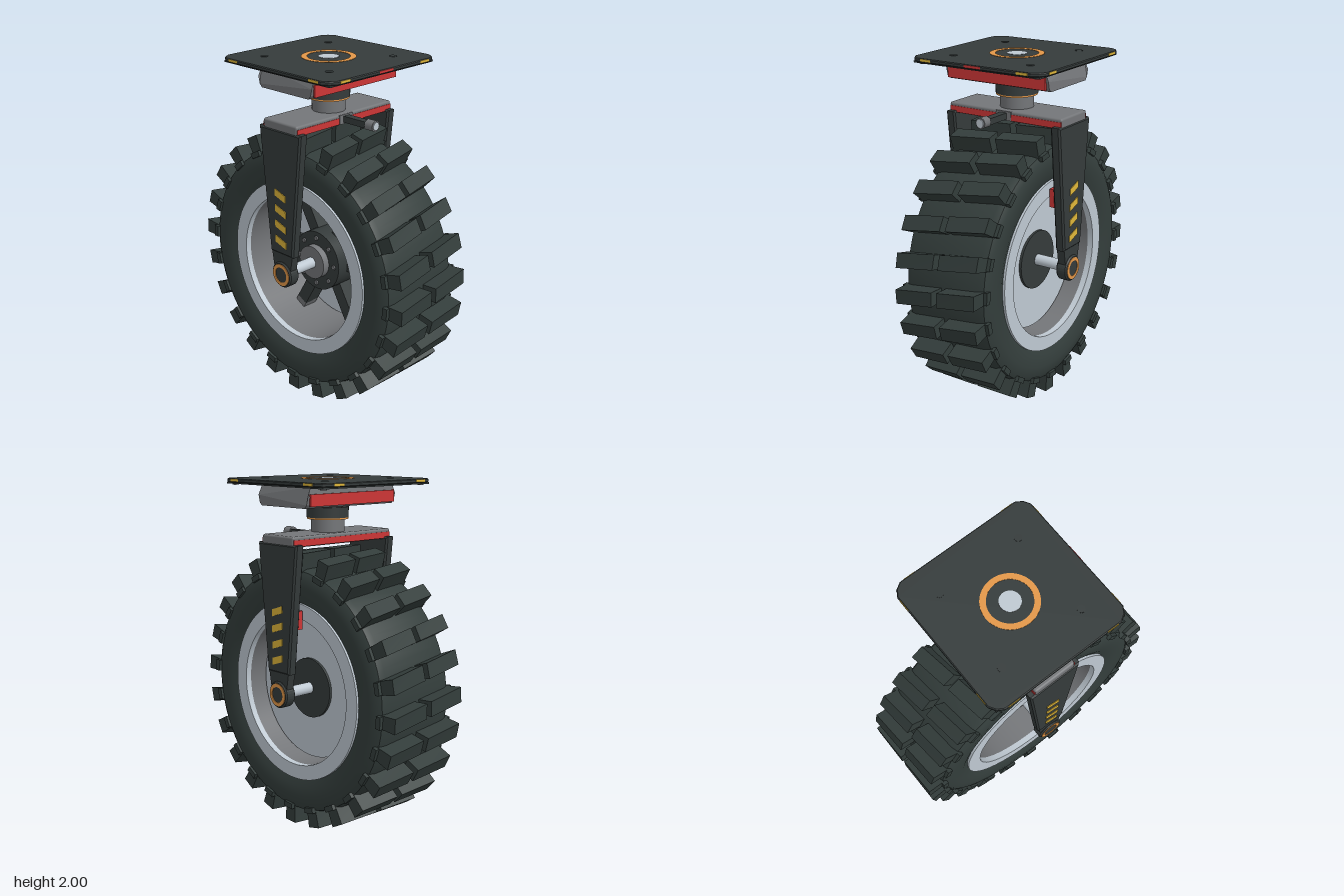
import * as THREE from 'three';
import { mergeGeometries, toCreasedNormals } from 'three/addons/utils/BufferGeometryUtils.js';
import { RoundedBoxGeometry } from 'three/addons/geometries/RoundedBoxGeometry.js';

const AXLE_Y = 0.8;

function material(name, color) {
  const m = new THREE.MeshStandardMaterial({ color });
  m.name = name;
  return m;
}

export function createModel() {
  const model = new THREE.Group();
  model.name = 'casterWheel';
  const rubber = material('rubber', 0x333d3b);
  const charcoal = material('charcoal', 0x353b3b);
  const grey = material('grey', 0x747679);
  const alloy = material('alloy', 0xbfc9d2);
  const red = material('red', 0xcc3636);
  const orange = material('orange', 0xe39748);
  const yellow = material('yellow', 0xdfb63a);

  const add = (name, geometry, mat, x = 0, y = 0, z = 0, parent = model) => {
    const mesh = new THREE.Mesh(geometry, mat);
    mesh.name = name;
    mesh.position.set(x, y, z);
    parent.add(mesh);
    return mesh;
  };
  const box = (w, h, d) => new THREE.BoxGeometry(w, h, d);
  const discY = (r, h, n = 40) => new THREE.CylinderGeometry(r, r, h, n);
  const discX = (r, w, n = 40) => discY(r, w, n).rotateZ(Math.PI / 2);
  const discZ = (r, w, n = 16) => discY(r, w, n).rotateX(Math.PI / 2);
  const polygon = pts => new THREE.Shape(pts.map(p => new THREE.Vector2(...p)));
  // Extrudes a (-z, y) outline along +x
  const extrudeX = (shape, depth, bevel = 0) => new THREE.ExtrudeGeometry(shape, {
    depth: depth - 2 * bevel, bevelEnabled: bevel > 0, bevelSize: bevel,
    bevelThickness: bevel, bevelOffset: -bevel, bevelSegments: 1, curveSegments: 16,
  }).translate(0, 0, bevel).rotateY(Math.PI / 2);
  // Turns an (x, radius) profile about the x axis
  const latheX = pts => toCreasedNormals(
    new THREE.LatheGeometry(pts.map(([x, r]) => new THREE.Vector2(r, x)), 72).rotateZ(-Math.PI / 2), 0.6);
  const ring = (inner, outer, depth) => {
    const shape = new THREE.Shape().absarc(0, 0, outer, 0, Math.PI * 2);
    shape.holes.push(new THREE.Path().absarc(0, 0, inner, 0, Math.PI * 2, true));
    return new THREE.ExtrudeGeometry(shape, { depth, bevelEnabled: false, curveSegments: 32 });
  };

  // Mounting plate
  const e = 0.425, c = 0.365, m = 0.402;
  const plateShape = polygon([[-c, -e], [c, -e], [m, -m], [e, -c], [e, c], [m, m], [c, e],
    [-c, e], [-m, m], [-e, c], [-e, -c], [-m, -m]]);
  add('mountingPlate', new THREE.ExtrudeGeometry(plateShape, {
    depth: 0.012, bevelEnabled: true, bevelSize: 0.005, bevelThickness: 0.005, bevelOffset: -0.005, bevelSegments: 1,
  }).rotateX(-Math.PI / 2), charcoal, 0, 1.981);
  add('lowerPlate', box(0.81, 0.01, 0.81), charcoal, 0, 1.972);
  add('plateRing', ring(0.12, 0.153, 0.004).rotateX(-Math.PI / 2), orange, 0, 1.996);
  add('pivotCap', discY(0.058, 0.004), alloy, 0, 1.998);
  for (const x of [-1, 1]) for (const z of [-1, 1]) {
    add('plateBolt', discY(0.022, 0.004, 20), charcoal, x * 0.25, 1.998, z * 0.25);
    add('cornerBolt', discY(0.018, 0.008, 6), grey, x * 0.37, 1.964, z * 0.37);
    add('edgeMarker', box(0.07, 0.014, 0.006), yellow, x * 0.31, 1.988, z * 0.4228);
    add('edgeMarker', box(0.006, 0.014, 0.07), yellow, x * 0.4228, 1.988, z * 0.31);
  }
  add('frontMarker', box(0.106, 0.014, 0.006), red, 0, 1.988, 0.4228);

  // Tapered housing under the plate
  const housing = extrudeX(polygon([[-0.18, 1.852], [0.18, 1.852], [0.197, 1.87], [0.207, 1.91],
    [0.203, 1.968], [-0.203, 1.968], [-0.207, 1.91], [-0.197, 1.87]]), 0.67).translate(-0.335, 0, 0);
  const hp = housing.attributes.position;
  for (let i = 0; i < hp.count; i++) if (hp.getY(i) > 1.95) hp.setX(i, hp.getX(i) * 0.93);
  housing.computeVertexNormals();
  add('housing', housing, grey);
  for (const s of [-1, 1]) add('housingPanel', box(0.64, 0.066, 0.012), red, 0, 1.896, s * 0.209);

  // Swivel neck
  add('swivelBearing', discY(0.12, 0.06), charcoal, 0, 1.81);
  add('bearingLip', discY(0.112, 0.02), charcoal, 0, 1.843);
  add('bearingRing', discY(0.118, 0.01), orange, 0, 1.776);
  add('swivelStem', discY(0.095, 0.085), grey, 0, 1.73);

  // Fork crown
  add('crown', new RoundedBoxGeometry(0.75, 0.06, 0.262, 2, 0.012), grey, 0, 1.67);
  for (const s of [-1, 1]) add('crownStripe', box(0.74, 0.036, 0.006), red, 0, 1.663, s * 0.131);

  // Brake lever
  add('leverSocket', box(0.1, 0.052, 0.014), grey, 0, 1.671, 0.131);
  add('leverRod', box(0.045, 0.036, 0.18), charcoal, 0, 1.671, 0.22);
  add('leverKnob', discZ(0.032, 0.055, 8), grey, 0, 1.672, 0.328);
  add('leverTip', discZ(0.023, 0.008), alloy, 0, 1.672, 0.357);

  // Fork legs with necks, axle eyes and hazard stripes
  const leg = extrudeX(polygon([[-0.09, 0.925], [0.09, 0.925], [0.163, 1.655], [-0.163, 1.655]]), 0.06, 0.01);
  const neck = extrudeX(polygon([[-0.06, 0.8], [0.06, 0.8], [0.085, 0.94], [-0.085, 0.94]]), 0.048);
  const eye = extrudeX(new THREE.Shape().absarc(0, AXLE_Y, 0.077, 0, Math.PI * 2), 0.07, 0.008);
  const stripe = extrudeX(polygon([[-0.042, -0.034], [0.042, -0.006], [0.042, 0.034], [-0.042, 0.006]]), 0.008);
  for (const s of [-1, 1]) {
    const fork = new THREE.Group();
    fork.name = s > 0 ? 'leftFork' : 'rightFork';
    model.add(fork);
    add('leg', leg, charcoal, s * 0.35 - 0.03, 0, 0, fork);
    add('neck', neck, charcoal, s * 0.35 - 0.024, 0, 0, fork);
    add('axleEye', eye, charcoal, s * 0.35 - 0.035, 0, 0, fork);
    add('eyeRing', ring(0.045, 0.065, 0.006).rotateY(Math.PI / 2), orange, s * 0.385 - 0.003, AXLE_Y, 0, fork);
    for (let i = 0; i < 4; i++) add('hazardStripe', stripe, yellow, s * 0.38 - 0.004, 1.002 + i * 0.0925, 0, fork);
  }
  add('sensor', box(0.045, 0.105, 0.19), red, 0.302, 1.23, 0);

  // Wheel
  const wheel = new THREE.Group();
  wheel.name = 'wheel';
  wheel.position.y = AXLE_Y;
  model.add(wheel);
  const part = (name, geometry, mat, x = 0, y = 0, z = 0) => add(name, geometry, mat, x, y, z, wheel);

  part('tyre', latheX([[-0.25, 0.515], [-0.268, 0.56], [-0.276, 0.62], [-0.272, 0.67], [-0.255, 0.7],
    [-0.22, 0.71], [0.22, 0.71], [0.255, 0.7], [0.272, 0.67], [0.276, 0.62], [0.268, 0.56], [0.25, 0.515]]), rubber);
  part('rimBarrel', latheX([[-0.235, 0.436], [-0.235, 0.5], [0.235, 0.5], [0.235, 0.436], [-0.235, 0.436]]), grey);
  for (const s of [-1, 1]) {
    part('rimLip', latheX([[-0.018, 0.435], [-0.018, 0.52], [0.018, 0.52], [0.018, 0.435], [-0.018, 0.435]]),
      alloy, s * 0.248);
  }

  // Tread: boxes bent round the wheel and skewed along a shallow helix
  const bentBlock = (x, w, r0, r1, arc, theta) => {
    const g = box(w, r1 - r0, arc).translate(x, (r0 + r1) / 2, 0);
    const p = g.attributes.position;
    for (let i = 0; i < p.count; i++) {
      const r = p.getY(i), a = theta + 0.2 * p.getX(i) - p.getZ(i) / 0.8;
      p.setXYZ(i, p.getX(i), r * Math.sin(a), r * Math.cos(a));
    }
    g.computeVertexNormals();
    return g;
  };
  const lugs = [], shoulders = [], count = 24;
  for (let i = 0; i < count; i++) {
    const a = -Math.PI / 2 + i * Math.PI * 2 / count;
    for (const s of [-1, 1]) {
      lugs.push(bentBlock(s * 0.1395, 0.245, 0.69, 0.802, 0.085, a));
      shoulders.push(bentBlock(s * 0.264, 0.038, 0.68, 0.712, 0.08, a));
    }
  }
  part('treadLugs', mergeGeometries(lugs), rubber);
  part('shoulderLugs', mergeGeometries(shoulders), rubber);

  // Dished disc, spokes and hub
  part('disc', discX(0.415, 0.03, 72), alloy, 0.115);
  for (let i = 0; i < 6; i++) {
    const a = i * Math.PI / 3;
    part('spoke', box(0.1, 0.075, 0.3), charcoal, 0.02, 0.25 * Math.sin(a), 0.25 * Math.cos(a)).rotation.x = -a;
    part('spokeFoot', box(0.1, 0.075, 0.05), grey, 0.02, 0.42 * Math.sin(a), 0.42 * Math.cos(a)).rotation.x = -a;
  }
  part('hubCover', discX(0.175, 0.016), charcoal, 0.137);
  part('hubMotor', discX(0.18, 0.2), charcoal, 0);
  part('hubCollar', discX(0.1, 0.045), grey, -0.12);
  for (let i = 0; i < 8; i++) {
    const a = i * Math.PI / 4;
    part('hubBolt', discX(0.014, 0.012, 6), grey, -0.104, 0.142 * Math.sin(a), 0.142 * Math.cos(a));
  }
  part('axle', discX(0.033, 0.66, 24), alloy);

  return model;
}
